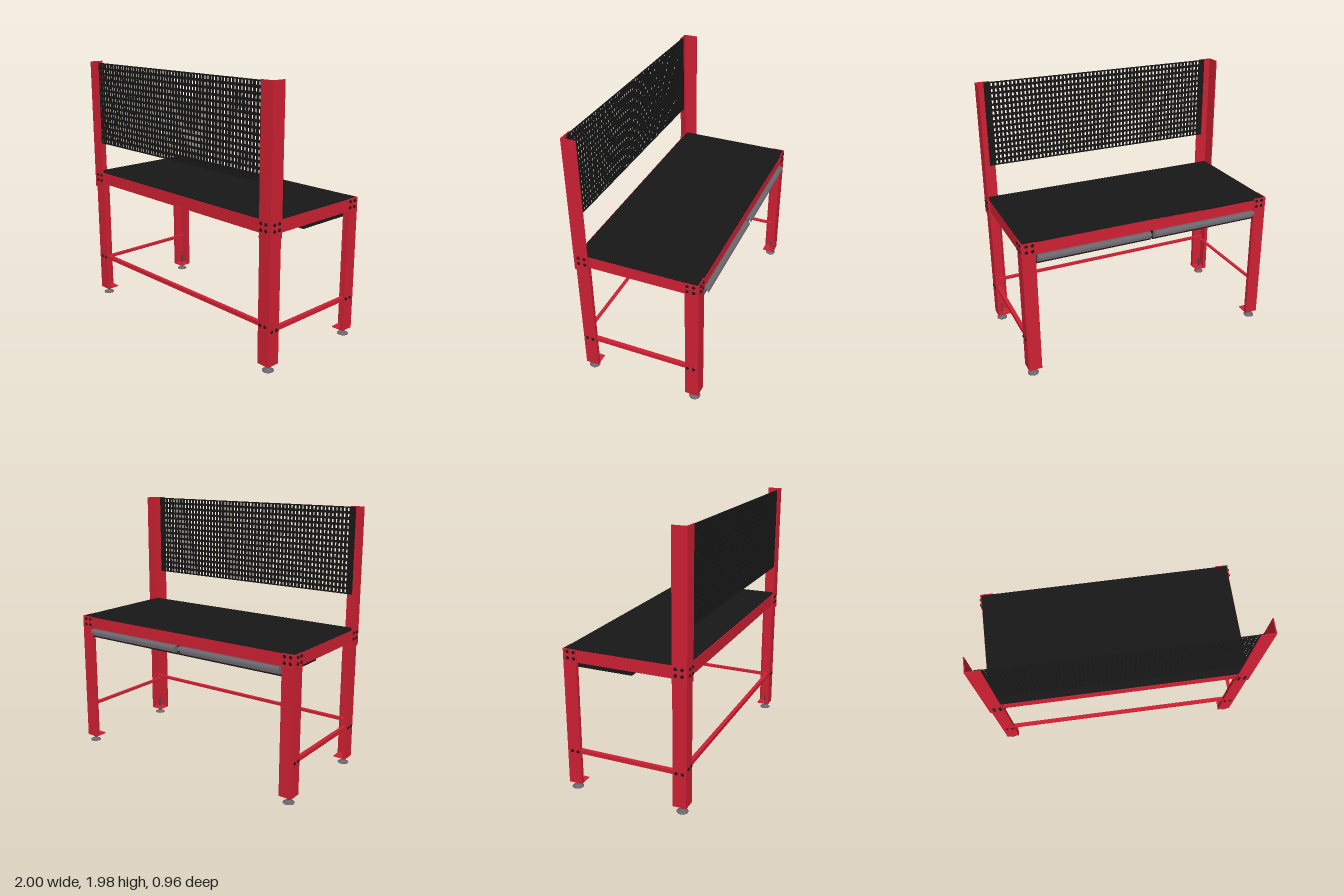
import * as THREE from 'three';

const mat = (color) => new THREE.MeshStandardMaterial({ color, side: THREE.DoubleSide });

export function createModel() {
  const root = new THREE.Group();
  root.name = 'workbench';
  const red = mat(0xd02033), black = mat(0x181818), grey = mat(0x6b666c), dark = mat(0x4a474b);

  const group = (name, parent = root) => {
    const g = new THREE.Group();
    g.name = name;
    parent.add(g);
    return g;
  };
  const add = (parent, name, geo, material) => {
    const m = new THREE.Mesh(geo, material);
    m.name = name;
    parent.add(m);
    return m;
  };
  // box given by two opposite corners, in any order
  const box = (parent, name, material, x0, x1, y0, y1, z0, z1) => {
    const m = add(parent, name, new THREE.BoxGeometry(Math.abs(x1 - x0), Math.abs(y1 - y0), Math.abs(z1 - z0)), material);
    m.position.set((x0 + x1) / 2, (y0 + y1) / 2, (z0 + z1) / 2);
  };
  // domed bolt head pointing along a direction
  const boltGeo = new THREE.CylinderGeometry(0.007, 0.0125, 0.008, 14);
  const bolt = (parent, x, y, z, dx, dz) => {
    const m = add(parent, 'bolt', boltGeo, black);
    m.position.set(x + dx * 0.004, y, z + dz * 0.004);
    m.quaternion.setFromUnitVectors(new THREE.Vector3(0, 1, 0), new THREE.Vector3(dx, 0, dz));
  };
  const T = 0.007; // sheet metal thickness

  // levelling foot: flared pad, nut and threaded stem
  const padGeo = new THREE.LatheGeometry([[0, 0], [0.041, 0], [0.041, 0.004], [0.018, 0.014], [0.014, 0.022], [0, 0.022]]
    .map(([r, y]) => new THREE.Vector2(r, y)), 24);
  const foot = (x, z) => {
    const g = group('levellingFoot');
    add(g, 'footPad', padGeo, grey);
    add(g, 'footNut', new THREE.CylinderGeometry(0.02, 0.02, 0.012, 6), dark).position.y = 0.04;
    add(g, 'footStem', new THREE.CylinderGeometry(0.009, 0.009, 0.115, 12), dark).position.y = 0.0725;
    g.position.set(x, 0, z);
  };

  for (const s of [1, -1]) {
    for (const e of [1, -1]) {
      // folded leg: two outer faces with return lips, open towards the inside
      const X = s * 0.985, XI = s * 0.885;
      const Z = e > 0 ? 0.465 : -0.452, ZI = Z - e * 0.1;
      const top = e > 0 ? 1.07 : 1.075;
      const leg = group('leg');
      box(leg, 'legSide', red, X, X - s * T, 0.05, top, Z, ZI);
      box(leg, 'legFace', red, X, XI, 0.05, top, Z, Z - e * T);
      box(leg, 'legLipSide', red, X, X - s * 0.028, 0.05, 0.984, ZI, ZI + e * T);
      box(leg, 'legLipFace', red, XI, XI + s * T, 0.05, 0.984, Z, Z - e * 0.028);
      box(leg, 'legFootPlate', red, X, XI, 0.05, 0.057, Z, ZI);
      foot(s * 0.943, e > 0 ? 0.42 : -0.41);

      // corner bolts and stretcher bolts
      const bolts = group('bolts');
      const outX = e > 0 ? 0.992 : 0.985, outZ = e > 0 ? 0.473 : -0.452;
      for (const i of [0, 1]) {
        const bx = s * (i ? 0.95 : 0.905);
        const bz = e > 0 ? (i ? 0.437 : 0.39) : (i ? -0.417 : -0.37);
        for (const y of [1.01, 1.055]) {
          bolt(bolts, bx, y, outZ, 0, e);
          bolt(bolts, s * outX, y, bz, s, 0);
        }
        bolt(bolts, s * 0.985, 0.305, bz, s, 0);
        if (e > 0) bolt(bolts, bx, 0.338, Z, 0, 1);
      }
    }

    // angle post that carries the perforated panel
    const post = group('panelPost');
    box(post, 'postFace', red, s * 0.992, s * 0.888, 0.95, 1.975, 0.473, 0.466);
    box(post, 'postSide', red, s * 0.992, s * 0.985, 0.95, 1.975, 0.473, 0.365);

    // side rail with its bottom lip, and side stretcher angle
    box(root, 'sideRail', red, s * 0.978, s * 0.971, 0.982, 1.072, -0.445, 0.458);
    box(root, 'sideRailLip', red, s * 0.978, s * 0.94, 0.982, 0.988, -0.445, 0.458);
    box(root, 'sideStretcher', red, s * 0.978, s * 0.972, 0.292, 0.322, -0.445, 0.458);
    box(root, 'sideStretcherFlange', red, s * 0.978, s * 0.95, 0.316, 0.322, -0.445, 0.458);
  }

  // long rails under the top
  for (const [z, e] of [[0.458, 1], [-0.445, -1]]) {
    box(root, 'longRail', red, -0.978, 0.978, 0.982, 1.072, z, z - e * T);
    box(root, 'longRailLip', red, -0.978, 0.978, 0.982, 0.988, z, z - e * 0.035);
  }
  // single long stretcher angle
  box(root, 'longStretcher', red, -0.978, 0.978, 0.324, 0.354, 0.458, 0.452);
  box(root, 'longStretcherFlange', red, -0.978, 0.978, 0.348, 0.354, 0.458, 0.43);

  // worktop: steel pan with a dark mat
  box(root, 'worktopPan', red, -0.971, 0.971, 1.052, 1.062, -0.438, 0.451);
  box(root, 'worktopMat', black, -0.976, 0.976, 1.062, 1.076, -0.445, 0.452);

  // two shallow drawers with curved pull lips
  for (const [x0, x1] of [[-0.885, -0.006], [0.004, 0.885]]) {
    const d = group('drawer');
    box(d, 'drawerBottom', black, x0, x1, 0.912, 0.918, -0.445, 0.022);
    for (const x of [x0, x1 - T]) box(d, 'drawerSide', black, x, x + T, 0.912, 1.0, -0.43, 0.022);
    box(d, 'drawerBack', black, x0, x1, 0.912, 1.0, 0.015, 0.022);
    box(d, 'drawerFront', grey, x0 + 0.01, x1 - 0.008, 0.925, 0.982, -0.436, -0.45);
    const lip = new THREE.Shape();
    lip.moveTo(-0.449, 0.979);
    lip.quadraticCurveTo(-0.479, 0.979, -0.481, 0.953);
    lip.lineTo(-0.476, 0.953);
    lip.quadraticCurveTo(-0.474, 0.973, -0.449, 0.973);
    const geo = new THREE.ExtrudeGeometry(lip, { depth: x1 - x0 - 0.02, bevelEnabled: false, curveSegments: 8 });
    geo.rotateY(-Math.PI / 2);
    geo.translate(x1 - 0.01, 0, 0);
    add(d, 'drawerPull', geo, grey);
  }

  // perforated back panel: regular grid of upright slots
  const W = 1.776, y0 = 1.325, y1 = 1.97, cols = 56, rows = 15;
  const rect = (path, xa, ya, xb, yb) => {
    path.moveTo(xa, ya);
    path.lineTo(xb, ya);
    path.lineTo(xb, yb);
    path.lineTo(xa, yb);
    path.closePath();
    return path;
  };
  const sheet = rect(new THREE.Shape(), -W / 2, y0, W / 2, y1);
  const px = W / cols, py = (y1 - y0) / rows;
  for (let r = 0; r < rows; r++) {
    for (let c = 0; c < cols; c++) {
      const cx = -W / 2 + (c + 0.5) * px, cy = y0 + (r + 0.5) * py;
      sheet.holes.push(rect(new THREE.Path(), cx - 0.007, cy - 0.012, cx + 0.007, cy + 0.012));
    }
  }
  const panel = new THREE.ExtrudeGeometry(sheet, { depth: 0.006, bevelEnabled: false });
  panel.translate(0, 0, 0.462);
  add(root, 'perforatedPanel', panel, black);
  for (const s of [1, -1]) box(root, 'panelEdge', black, s * 0.887, s * 0.93, y0, y1, 0.465, 0.459);

  return root;
}
